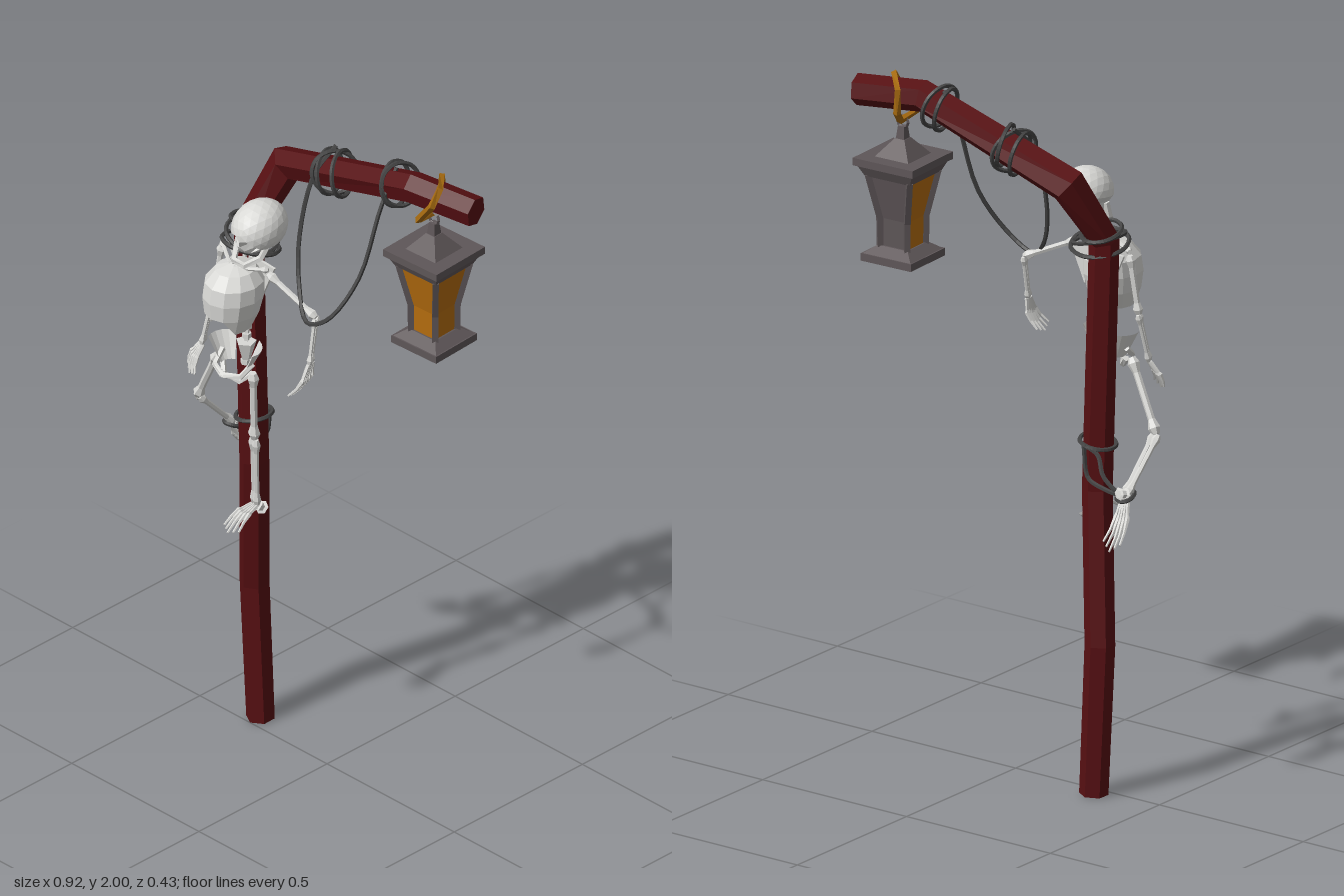
import * as THREE from 'three';

const mat = (name, color, side = THREE.FrontSide) => {
  const m = new THREE.MeshStandardMaterial({ color, side });
  m.name = name;
  return m;
};

// Faceted copy of a geometry
const facet = (g) => {
  const f = g.index ? g.toNonIndexed() : g;
  f.computeVertexNormals();
  return f;
};

// Sweep a regular polygon along a path with one radius per point
function loft(pts, radii, sides = 6, closed = false) {
  const P = pts.map((p) => (p.isVector3 ? p : new THREE.Vector3(...p)));
  const n = P.length, pos = [], idx = [];
  let N = null;
  P.forEach((p, i) => {
    const a = P[closed ? (i + 1) % n : Math.min(i + 1, n - 1)];
    const b = P[closed ? (i + n - 1) % n : Math.max(i - 1, 0)];
    const T = a.clone().sub(p).normalize().add(p.clone().sub(b).normalize()).normalize();
    if (!N) N = Math.abs(T.z) > 0.9 ? new THREE.Vector3(1, 0, 0) : new THREE.Vector3(0, 0, 1);
    N = N.clone().addScaledVector(T, -N.dot(T)).normalize();
    const B = T.clone().cross(N), r = Array.isArray(radii) ? radii[i] : radii;
    for (let j = 0; j < sides; j++) {
      const t = (j / sides) * Math.PI * 2;
      const v = p.clone().addScaledVector(N, r * Math.cos(t)).addScaledVector(B, r * Math.sin(t));
      pos.push(v.x, v.y, v.z);
    }
  });
  for (let i = 0; i < (closed ? n : n - 1); i++) {
    for (let j = 0; j < sides; j++) {
      const k = (j + 1) % sides, u = ((i + 1) % n) * sides;
      idx.push(i * sides + j, i * sides + k, u + j, i * sides + k, u + k, u + j);
    }
  }
  if (!closed) {
    const e = (n - 1) * sides;
    for (let j = 1; j < sides - 1; j++) idx.push(0, j + 1, j, e, e + j, e + j + 1);
  }
  const g = new THREE.BufferGeometry();
  g.setAttribute('position', new THREE.Float32BufferAttribute(pos, 3));
  g.setIndex(idx);
  return facet(g);
}

export function createModel() {
  const wood = mat('dark red wood', 0x560f12);
  const bone = mat('bone', 0xd9d9d6, THREE.DoubleSide);
  const ropeMat = mat('rope', 0x444444);
  const iron = mat('lantern iron', 0x5e5658);
  const glass = mat('amber glass', 0xb46c0e);
  const brass = mat('strap', 0xa3680f);

  const root = new THREE.Group();
  root.name = 'lanternPost';
  const add = (name, geo, m, parent = root) => {
    const mesh = new THREE.Mesh(geo, m);
    mesh.name = name;
    parent.add(mesh);
    return mesh;
  };
  const group = (name, parent = root) => {
    const g = new THREE.Group();
    g.name = name;
    parent.add(g);
    return g;
  };

  // Crooked post and arm
  add('post', loft([
    [-0.302, 0, -0.04], [-0.318, 0.44, -0.033], [-0.278, 0.88, 0.008], [-0.308, 1.62, 0.0],
    [-0.265, 1.8, -0.107], [0.245, 1.95, -0.097], [0.445, 1.94, -0.14],
  ], [0.041, 0.043, 0.043, 0.044, 0.054, 0.046, 0.045]), wood);

  // Lantern
  const lantern = group('lantern');
  lantern.position.set(0.305, 0, -0.115);
  lantern.rotation.y = 0.05;
  const block = (name, top, bottom, y0, y1) => {
    const g = new THREE.CylinderGeometry(top * Math.SQRT2, bottom * Math.SQRT2, y1 - y0, 4);
    g.rotateY(Math.PI / 4);
    add(name, facet(g), iron, lantern).position.y = (y0 + y1) / 2;
  };
  block('roofPlate', 0.1, 0.1, 1.748, 1.77);
  block('roofUnderside', 0.092, 0.076, 1.715, 1.748);
  block('roofCap', 0.016, 0.056, 1.77, 1.82);
  block('roofStem', 0.01, 0.014, 1.82, 1.855);
  block('baseSlope', 0.05, 0.08, 1.488, 1.51);
  block('basePlate', 0.084, 0.084, 1.466, 1.488);
  const profile = [[1.72, 0.07], [1.59, 0.046], [1.505, 0.045]];
  for (let k = 0; k < 4; k++) {
    for (let s = 0; s < 2; s++) {
      const [y1, h1] = profile[s], [y0, h0] = profile[s + 1];
      const g = new THREE.CylinderGeometry(h1 * Math.SQRT2, h0 * Math.SQRT2, y1 - y0, 1, 1, true,
        (k - 0.5) * Math.PI / 2, Math.PI / 2);
      add(k === 2 ? 'backPanel' : 'glassPanel', facet(g), k === 2 ? iron : glass, lantern).position.y = (y0 + y1) / 2;
    }
    const sx = k < 2 ? 1 : -1, sz = k % 2 ? 1 : -1;
    add('cornerPost', loft(profile.map(([y, h]) => [sx * h, y, sz * h]), 0.012, 4), iron, lantern);
  }
  const ring = add('hangerRing', facet(new THREE.TorusGeometry(0.018, 0.005, 4, 8)), iron, lantern);
  ring.position.y = 1.868;

  // Strap round the arm
  add('strap', loft([[0.285, 1.975, -0.165], [0.352, 1.992, -0.09], [0.352, 1.95, -0.058],
    [0.3, 1.885, -0.058], [0.295, 1.88, -0.14], [0.285, 1.91, -0.168]], 0.011, 4, true), brass);

  // Ropes
  const ropes = group('ropes');
  const rope = (name, pts, closed = false) => {
    const c = new THREE.CatmullRomCurve3(pts.map((p) => new THREE.Vector3(...p)), closed);
    const s = c.getPoints(pts.length * 4);
    if (closed) s.pop();
    add(name, loft(s, 0.0065, 5, closed), ropeMat, ropes);
  };
  const loop = (name, fn) => rope(name, Array.from({ length: 8 }, (_, i) => {
    const t = (i / 8) * Math.PI * 2;
    return fn(Math.cos(t), Math.sin(t));
  }), true);
  rope('hangingRope', [[-0.085, 1.93, -0.12], [-0.1, 1.86, -0.05], [-0.108, 1.68, 0.0], [-0.07, 1.555, 0.04],
    [0.01, 1.487, 0.09], [0.09, 1.53, 0.085], [0.145, 1.66, 0.02], [0.165, 1.87, -0.045], [0.172, 1.98, -0.1]]);
  for (const [x, skew] of [[-0.09, 0.012], [-0.07, -0.03], [-0.04, 0.02], [0.168, 0.008], [0.188, -0.014]]) {
    const y = 1.95 + (x - 0.245) * 0.29;
    loop('armWrap', (c, s) => [x + skew * s - 0.015 * c, y + 0.062 * c, -0.1 + 0.06 * s]);
  }
  loop('neckRope', (c, s) => [-0.275 + 0.075 * c, 1.615 - 0.02 * c, 0.02 + 0.07 * s]);
  loop('postRope', (c, s) => [-0.302 + 0.055 * c, 1.645 + 0.015 * s, -0.005 + 0.06 * s]);
  loop('shoulderRope', (c, s) => [-0.27 + 0.085 * c, 1.595 + 0.02 * s, 0.03 + 0.075 * s]);
  loop('legRope', (c, s) => [-0.284 + 0.05 * c, 1.02 + 0.01 * c, 0.003 + 0.053 * s]);
  loop('ankleRope', (c, s) => [-0.42 + 0.024 * c, 0.905 + 0.01 * s, -0.05 + 0.026 * s]);
  rope('ankleTether', [[-0.4, 0.905, -0.055], [-0.35, 0.95, -0.06], [-0.32, 1.0, -0.045], [-0.28, 1.022, -0.05]]);
  rope('ankleTetherBack', [[-0.4, 0.9, -0.05], [-0.35, 0.91, -0.055], [-0.29, 0.93, -0.05], [-0.275, 1.02, -0.05]]);

  // Skull: sockets and lower face shaped from a faceted ball
  const skeleton = group('skeleton');
  const head = group('head', skeleton);
  head.position.set(-0.185, 1.712, 0.08);
  head.rotation.set(0.15, 0.1, -0.25);
  const skull = new THREE.IcosahedronGeometry(1, 3);
  const sp = skull.attributes.position, v = new THREE.Vector3();
  for (let i = 0; i < sp.count; i++) {
    v.fromBufferAttribute(sp, i);
    const eye = Math.hypot(Math.abs(v.x) - 0.36, v.y + 0.22);
    if (v.z > 0.4 && eye < 0.25) v.z -= 0.35;
    if (v.y < -0.4) { v.x *= 0.75; v.y = v.z > 0 ? v.y * 1.08 : -0.4 + (v.y + 0.4) * 0.4; }
    sp.setXYZ(i, v.x * 0.073, v.y * 0.074, v.z * 0.09);
  }
  add('skull', facet(skull), bone, head);
  add('jaw', loft([[-0.047, -0.035, 0.02], [-0.042, -0.075, 0.035], [-0.018, -0.092, 0.078],
    [0.018, -0.092, 0.078], [0.042, -0.075, 0.035], [0.047, -0.035, 0.02]], 0.01, 5), bone, head);

  // Rib cage with an arched lower front edge
  const cage = new THREE.LatheGeometry([[0.055, -0.1], [0.074, -0.05], [0.083, 0], [0.08, 0.045], [0.055, 0.08], [0.012, 0.095]]
    .map((p) => new THREE.Vector2(...p)), 12);
  const cp = cage.attributes.position;
  for (let i = 0; i < cp.count; i++) {
    const x = cp.getX(i), y = cp.getY(i), z = cp.getZ(i);
    if (y < -0.08 && z > 0.04) cp.setY(i, y + 0.055);
    cp.setZ(i, z * 1.12 - y * 0.1);
    cp.setX(i, x);
  }
  add('ribCage', facet(cage), bone, skeleton).position.set(-0.245, 1.485, 0.122);

  // Spine
  const spine = new THREE.CatmullRomCurve3([[-0.245, 1.24, 0.075], [-0.25, 1.4, 0.06], [-0.245, 1.56, 0.045],
    [-0.2, 1.665, 0.065]].map((p) => new THREE.Vector3(...p)));
  add('spine', loft(spine.getPoints(10), 0.008, 5), bone, skeleton);
  for (const p of spine.getSpacedPoints(16)) {
    add('vertebra', facet(new THREE.CylinderGeometry(0.014, 0.014, 0.014, 6)), bone, skeleton).position.copy(p);
  }

  // Pelvis: two flared wings, sacrum and lower arch
  const pelvis = group('pelvis', skeleton);
  pelvis.position.set(-0.245, 1.27, 0.115);
  for (const s of [1, -1]) {
    const wing = new THREE.LatheGeometry([[0.045, -0.03], [0.062, 0], [0.086, 0.045]].map((p) => new THREE.Vector2(...p)),
      5, s * Math.PI / 2 - 0.6 + s * 0.35, 1.4);
    add('hipWing', facet(wing), bone, pelvis).scale.z = 0.75;
    add('hipArch', loft([[s * 0.06, 0, -0.01], [s * 0.05, -0.03, 0.03], [0, -0.035, 0.05],
      [s * 0.03, -0.06, 0.015], [s * 0.06, -0.03, -0.01]], 0.009, 5), bone, pelvis);
  }
  add('sacrum', facet(new THREE.CylinderGeometry(0.03, 0.01, 0.07, 5)), bone, pelvis).position.set(0, 0.0, -0.042);

  // Limbs
  const longBone = (name, a, b, r) => {
    const A = new THREE.Vector3(...a), B = new THREE.Vector3(...b);
    add(name, loft([0, 0.08, 0.2, 0.8, 0.92, 1].map((t) => A.clone().lerp(B, t)),
      [r, 1.7 * r, r, r, 1.7 * r, r], 6), bone, skeleton);
  };
  const pair = (name, a, b, r, o) => {
    for (const s of [1, -1]) longBone(name, a.map((x, i) => x + s * o[i]), b.map((x, i) => x + s * o[i] * 0.7), r);
  };
  // Five rays fanning from a wrist or ankle; bend is the droop at the tip
  const digits = (name, w, tip, spread, bend) => {
    for (let i = -2; i <= 2; i++) {
      const at = (t, f, k) => w.map((x, j) => x + (tip[j] - x) * t + spread[j] * i * f + bend[j] * k);
      const l = 1 - Math.abs(i) * 0.07;
      add(name, loft([at(0, 0.4, 0), at(0.4 * l, 0.8, 0.8), at(0.48 * l, 0.9, 1), at(0.75 * l, 1.1, 0.8), at(l, 1.3, 0)],
        [0.006, 0.005, 0.007, 0.0045, 0.003], 5), bone, skeleton);
    }
  };

  const arms = [
    { sh: [-0.155, 1.565, 0.075], el: [0.012, 1.487, 0.055], wr: [0.02, 1.355, 0.085], tip: [-0.012, 1.255, 0.12], sp: [0.003, 0, 0.014], bend: [0.015, 0, 0] },
    { sh: [-0.352, 1.565, 0.06], el: [-0.375, 1.395, 0.07], wr: [-0.385, 1.25, 0.105], tip: [-0.395, 1.165, 0.145], sp: [0.011, 0, 0.006], bend: [-0.01, 0, 0] },
  ];
  for (const a of arms) {
    longBone('upperArm', a.sh, a.el, 0.0085);
    pair('forearm', a.el, a.wr, 0.0055, [0.004, 0, 0.009]);
    digits('finger', a.wr, a.tip, a.sp, a.bend);
    longBone('collarBone', [-0.245, 1.57, 0.13], [a.sh[0], a.sh[1] + 0.012, a.sh[2]], 0.006);
    // Shoulder blade
    const d = Math.sign(a.sh[0] + 0.25);
    const blade = new THREE.Shape([[0, 0], [-0.075 * d, 0.005], [-0.05 * d, -0.115]].map((p) => new THREE.Vector2(...p)));
    add('shoulderBlade', facet(new THREE.ExtrudeGeometry(blade, { depth: 0.008, bevelEnabled: false })), bone, skeleton)
      .position.set(a.sh[0], a.sh[1] + 0.005, a.sh[2] - 0.03);
  }

  const legs = [
    { hip: [-0.18, 1.245, 0.11], kn: [-0.19, 1.02, 0.095], an: [-0.2, 0.795, 0.08], heel: [-0.203, 0.768, 0.05], tip: [-0.185, 0.762, 0.205], bend: [0, 0.012, 0] },
    { hip: [-0.32, 1.245, 0.11], kn: [-0.428, 1.05, 0.08], an: [-0.422, 0.91, -0.05], heel: [-0.415, 0.915, -0.075], tip: [-0.435, 0.77, -0.145], bend: [0, -0.004, 0.012] },
  ];
  for (const l of legs) {
    longBone('thigh', l.hip, l.kn, 0.0105);
    pair('shin', l.kn, l.an, 0.0075, [0.009, 0, 0.002]);
    longBone('heel', l.an, l.heel, 0.012);
    digits('toe', l.an, l.tip, [0.011, 0, 0], l.bend);
  }

  return root;
}
